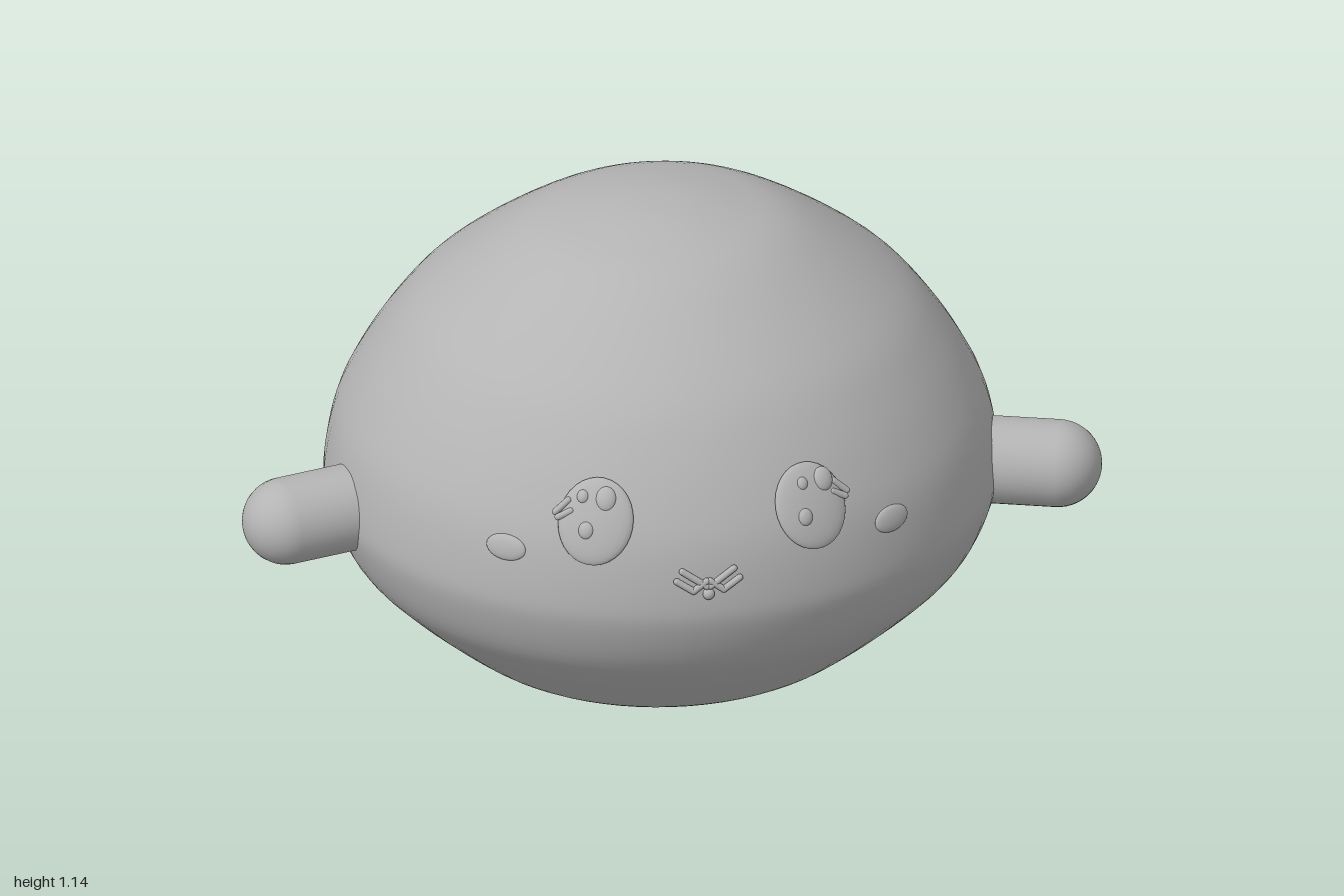
import * as THREE from 'three';

const grey = new THREE.MeshStandardMaterial({ color: 0xb4b4b4 });
grey.name = 'plain grey';

// Body profile: half width against height; depth is a fixed share of the width
const DEPTH = 0.93, CENTRE_Z = 0.05;
const profile = new THREE.SplineCurve([
  [0, 0], [0.25, 0.002], [0.38, 0.015], [0.46, 0.04], [0.54, 0.1], [0.65, 0.2], [0.73, 0.29],
  [0.775, 0.4], [0.78, 0.48], [0.757, 0.6], [0.712, 0.7], [0.65, 0.8], [0.568, 0.9],
  [0.43, 1.01], [0.3, 1.09], [0.18, 1.125], [0.08, 1.142], [0, 1.145],
].map(([x, y]) => new THREE.Vector2(x, y))).getPoints(68);
profile[0].x = profile[profile.length - 1].x = 0;

function halfWidth(y) {
  const i = Math.max(1, profile.findIndex((p) => p.y >= y));
  const a = profile[i - 1], b = profile[i];
  return a.x + (b.x - a.x) * (y - a.y) / (b.y - a.y);
}

// Point on the front of the body
function onBody(x, y, lift = 0) {
  const z = (u, v) => CENTRE_Z + DEPTH * Math.sqrt(halfWidth(v) ** 2 - u * u);
  const e = 0.03;
  const normal = new THREE.Vector3(
    (z(x - e, y) - z(x + e, y)) / (2 * e), (z(x, y - e) - z(x, y + e)) / (2 * e), 1).normalize();
  const point = new THREE.Vector3(x, y, z(x, y)).addScaledVector(normal, lift);
  return { point, normal };
}

function add(parent, name, geometry) {
  const mesh = new THREE.Mesh(geometry, grey);
  mesh.name = name;
  parent.add(mesh);
  return mesh;
}

// Flattened bead lying on the body
function bead(parent, name, x, y, rx, ry, thick, lift = 0, roll = 0) {
  const mesh = add(parent, name, new THREE.SphereGeometry(1, 24, 16));
  const { point, normal } = onBody(x, y, lift);
  mesh.scale.set(rx, ry, thick);
  mesh.position.copy(point);
  mesh.lookAt(point.clone().add(normal));
  mesh.rotateZ(roll);
  return mesh;
}

// Small round rod between two places on the body
function rod(parent, name, from, to, radius, lift) {
  const a = onBody(...from, lift).point, b = onBody(...to, lift).point;
  const mesh = add(parent, name, new THREE.CapsuleGeometry(radius, a.distanceTo(b), 4, 10));
  mesh.position.copy(a).lerp(b, 0.5);
  mesh.quaternion.setFromUnitVectors(new THREE.Vector3(0, 1, 0), b.clone().sub(a).normalize());
}

export function createModel() {
  const model = new THREE.Group();
  model.name = 'roundSeal';

  const body = new THREE.LatheGeometry(profile, 72);
  body.scale(1, 1, DEPTH);
  body.translate(0, 0, CENTRE_Z);
  add(model, 'body', body);

  // Tail: flared bump that runs into the back
  const tailCurve = new THREE.SplineCurve([
    [0.3, -0.12], [0.24, 0], [0.185, 0.11], [0.14, 0.17], [0.085, 0.22], [0.03, 0.238], [0, 0.24],
  ].map(([x, y]) => new THREE.Vector2(x, y))).getPoints(30);
  const tail = add(model, 'tail', new THREE.LatheGeometry(tailCurve, 40));
  tail.scale.set(1, 1, 0.86);
  tail.position.set(0, 0.33, -0.55);
  tail.rotation.x = -Math.PI / 2 - 0.2;

  for (const side of [-1, 1]) {
    // Flippers point outward and a little forward
    const flipper = add(model, side > 0 ? 'leftFlipper' : 'rightFlipper',
      new THREE.CapsuleGeometry(0.102, 0.24, 12, 28));
    flipper.position.set(side * 0.785, 0.463, 0.185);
    flipper.quaternion.setFromUnitVectors(new THREE.Vector3(0, 1, 0),
      new THREE.Vector3(side, -0.02, 0.24).normalize());

    // Eye with three highlights and two outer lashes
    const eye = new THREE.Group();
    eye.name = side > 0 ? 'leftEye' : 'rightEye';
    model.add(eye);
    const ex = side * 0.25;
    bead(eye, 'eyeball', ex, 0.667, 0.088, 0.103, 0.02, 0.002, side * 0.12);
    bead(eye, 'largeHighlight', ex + 0.028, 0.715, 0.024, 0.029, 0.012, 0.016);
    bead(eye, 'smallHighlight', ex - 0.022, 0.716, 0.014, 0.016, 0.01, 0.016);
    bead(eye, 'lowerHighlight', ex - 0.02, 0.648, 0.018, 0.021, 0.01, 0.018);
    rod(eye, 'upperLash', [side * 0.305, 0.705], [side * 0.335, 0.678], 0.008, 0.014);
    rod(eye, 'lowerLash', [side * 0.3, 0.685], [side * 0.33, 0.668], 0.008, 0.014);

    bead(model, 'cheek', side * 0.45, 0.58, 0.05, 0.031, 0.01);

    // Whisker-like strokes of the mouth
    rod(model, 'mouthStroke', [side * 0.073, 0.537], [side * 0.035, 0.512], 0.008, 0.006);
    rod(model, 'mouthStroke', [side * 0.06, 0.56], [side * 0.004, 0.522], 0.008, 0.006);
    rod(model, 'mouthStroke', [side * 0.035, 0.512], [side * 0.004, 0.535], 0.008, 0.006);
  }
  bead(model, 'chin', 0, 0.503, 0.014, 0.014, 0.012, 0.004);

  return model;
}
